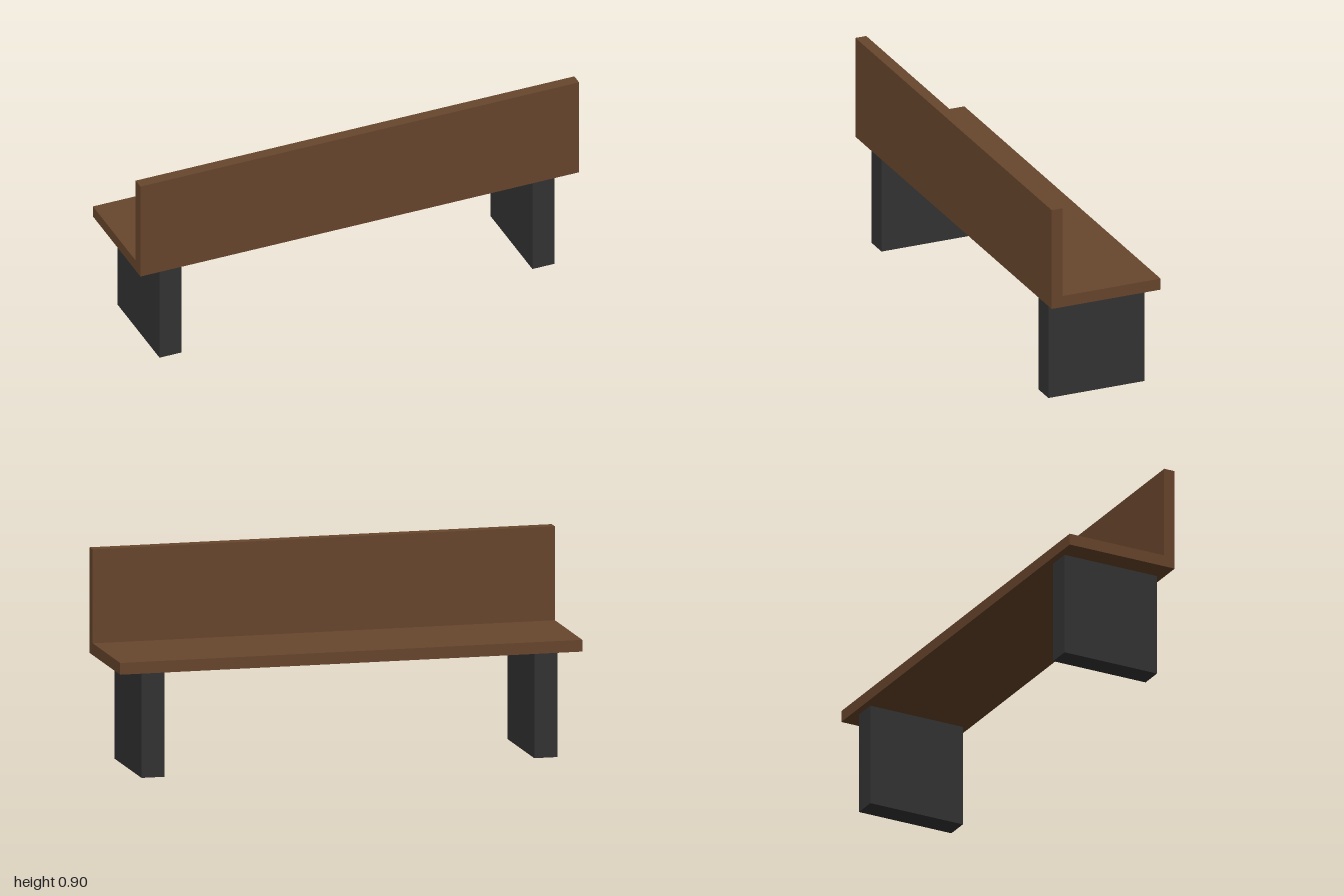
import * as THREE from 'three';

export function createModel() {
  const bench = new THREE.Group();
  bench.name = 'bench';

  const wood = new THREE.MeshStandardMaterial({ color: 0x68462c });
  wood.name = 'brown wood';
  const metal = new THREE.MeshStandardMaterial({ color: 0x333333 });
  metal.name = 'dark metal';

  // Adds a box of the given size, centred on the given point
  const addBox = (name, material, [w, h, d], [x, y, z]) => {
    const mesh = new THREE.Mesh(new THREE.BoxGeometry(w, h, d), material);
    mesh.name = name;
    mesh.position.set(x, y, z);
    bench.add(mesh);
  };

  // Seat board butts against the upright board, which runs down to its underside
  addBox('seat', wood, [2, 0.05, 0.45], [0, 0.475, -0.025]);
  addBox('backrest', wood, [2, 0.45, 0.05], [0, 0.675, 0.225]);

  // Solid slab legs, mirrored left and right
  for (const [name, side] of [['leftLeg', 1], ['rightLeg', -1]]) {
    addBox(name, metal, [0.1, 0.45, 0.44], [side * 0.85, 0.225, 0]);
  }

  return bench;
}
